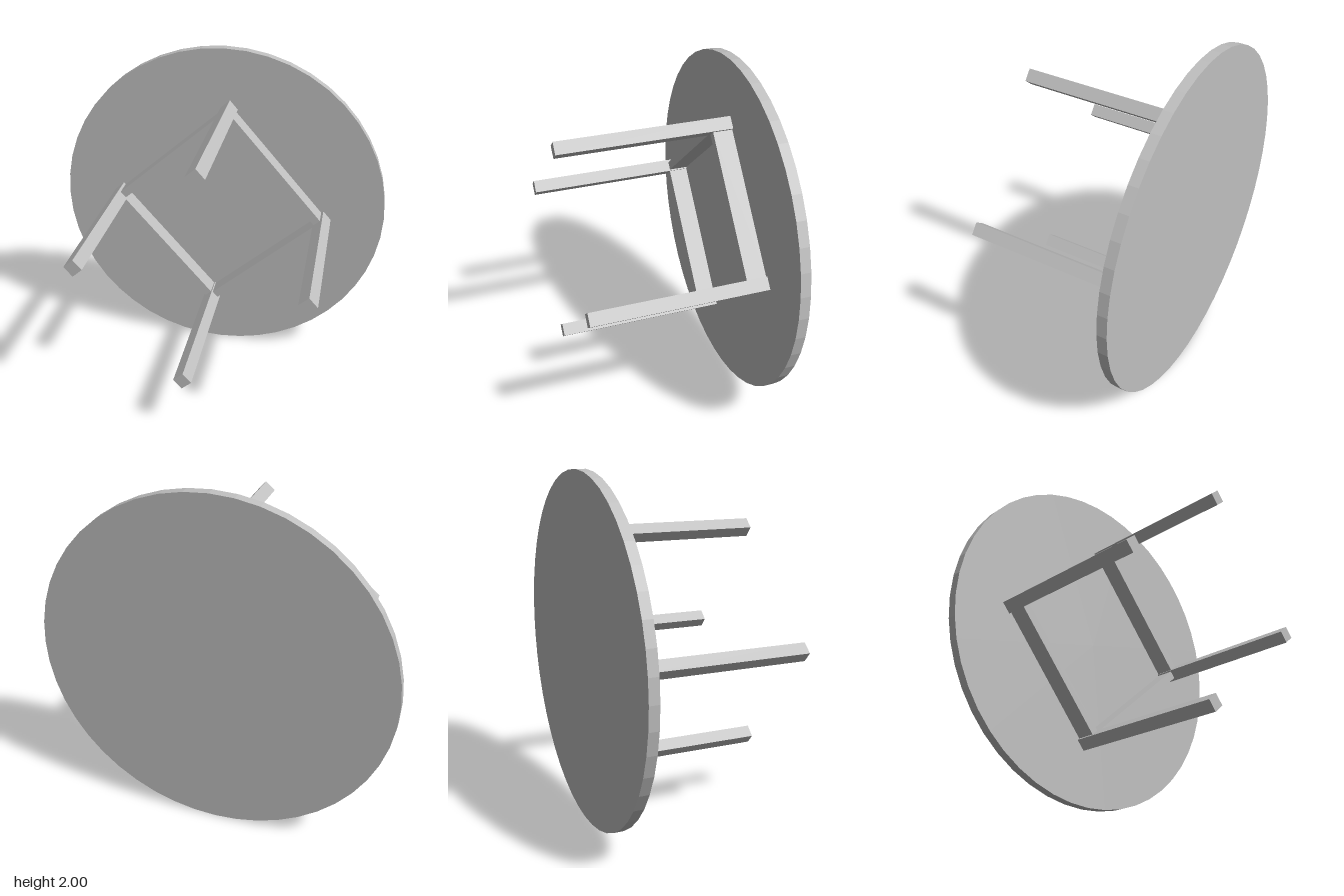
import * as THREE from 'three';

export function createModel() {
  const model = new THREE.Group();
  const grey = new THREE.MeshStandardMaterial({ color: 0xc0c0c0, flatShading: true });
  grey.name = 'plain grey';

  const add = (parent, name, geometry, x, y, z) => {
    const mesh = new THREE.Mesh(geometry, grey);
    mesh.name = name;
    mesh.position.set(x, y, z);
    parent.add(mesh);
    return mesh;
  };

  // Round top, standing on its rim
  const backZ = -0.525, innerZ = -0.468, footZ = 0.525;
  const top = add(model, 'tableTop',
    new THREE.CylinderGeometry(1, 1, innerZ - backZ, 48), 0, 1, (innerZ + backZ) / 2);
  top.rotation.x = Math.PI / 2;

  // Square underframe, turned about the table axis
  const frame = new THREE.Group();
  frame.name = 'underframe';
  frame.position.set(-0.005, 1.008, 0);
  frame.rotation.z = THREE.MathUtils.degToRad(41.25);
  model.add(frame);

  const half = 0.449;      // leg centre from the table axis
  const legSize = 0.073;
  const apronDepth = 0.113;
  const legGeometry = new THREE.BoxGeometry(legSize, legSize, footZ - innerZ);
  const apronGeometry = new THREE.BoxGeometry(2 * half - legSize, 0.048, apronDepth);

  // One leg and one apron per quarter turn
  for (let i = 0; i < 4; i++) {
    const quarter = new THREE.Group();
    quarter.name = 'frameSide' + (i + 1);
    quarter.rotation.z = i * Math.PI / 2;
    add(quarter, 'leg', legGeometry, half, half, (footZ + innerZ) / 2);
    add(quarter, 'apron', apronGeometry, 0, half - 0.004, innerZ + apronDepth / 2);
    frame.add(quarter);
  }
  return model;
}
